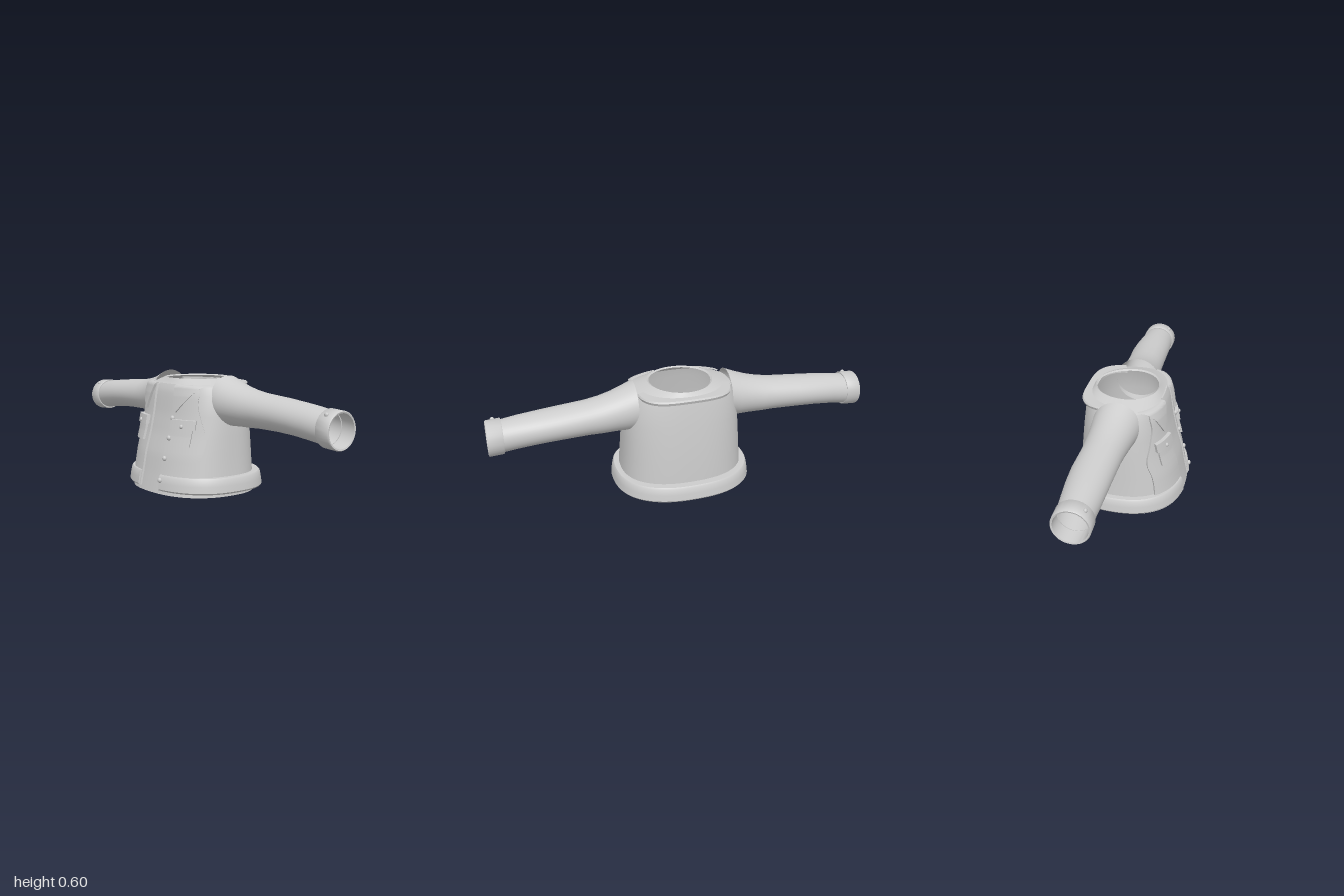
import * as THREE from 'three';
import { toCreasedNormals } from 'three/addons/utils/BufferGeometryUtils.js';

const cloth = new THREE.MeshStandardMaterial({ color: 0xcccccc, side: THREE.DoubleSide });
cloth.name = 'grey cloth';

const clamp = THREE.MathUtils.clamp, lerp = THREE.MathUtils.lerp;
const spow = (v, p) => Math.sign(v) * Math.abs(v) ** p;

// Torso cross-sections: height, half width, front depth, back depth, squareness
const ROWS = [
  [0, 0.335, 0.297, 0.26, 2.4], [0.1, 0.325, 0.275, 0.257, 2.4], [0.2, 0.318, 0.256, 0.252, 2.4],
  [0.3, 0.312, 0.226, 0.245, 2.4], [0.4, 0.305, 0.204, 0.235, 2.4], [0.5, 0.29, 0.189, 0.223, 2.4],
  [0.545, 0.268, 0.178, 0.215, 2.4], [0.557, 0.23, 0.165, 0.2, 2.3], [0.58, 0.17, 0.148, 0.185, 2],
  [0.574, 0.16, 0.14, 0.178, 2],
];

// Interpolated cross-section at height y
function section(y) {
  let i = 0;
  while (i < 7 && ROWS[i + 1][0] < y) i++;
  const a = ROWS[i], b = ROWS[i + 1], k = (y - a[0]) / (b[0] - a[0]);
  return a.map((v, j) => lerp(v, b[j], k));
}

// Point on a rounded outline; t = 0 is the front, t = PI/2 the left side
function ring(t, y, rx, zf, zb, n) {
  const c = Math.cos(t);
  return [rx * spow(Math.sin(t), 2 / n), y, (c > 0 ? zf : zb) * spow(c, 2 / n)];
}

// Point on the torso, raised by an offset
function onBody(t, y, o = 0) {
  const [, rx, zf, zb, n] = section(y);
  return ring(t, y, rx + o, zf + o, zb + o, n);
}

// Outline angle of a given x, or of a given z on the front half
function angleX(x, y) {
  const [, rx, , , n] = section(y);
  return Math.asin(clamp(spow(x / rx, n / 2), -1, 1));
}
function angleZ(z, y) {
  const [, , zf, , n] = section(y);
  return Math.acos(clamp(spow(z / zf, n / 2), -1, 1));
}

// Grid surface from fn(i, j)
function grid(nu, nv, fn, crease = 0.7) {
  const pos = [], idx = [];
  for (let j = 0; j <= nv; j++) for (let i = 0; i <= nu; i++) pos.push(...fn(i, j));
  for (let j = 0; j < nv; j++) for (let i = 0; i < nu; i++) {
    const a = j * (nu + 1) + i, b = a + 1, c = a + nu + 1, d = c + 1;
    idx.push(a, b, d, a, d, c);
  }
  const g = new THREE.BufferGeometry();
  g.setAttribute('position', new THREE.Float32BufferAttribute(pos, 3));
  g.setIndex(idx);
  return toCreasedNormals(g, crease);
}

// Raised cloth piece on the torso between the angles lo(y, v) and hi(y, v)
function patch(y0, y1, lo, hi, o, base = 0, nu = 14, nv = 24) {
  return grid(nu + 2, nv + 2, (i, j) => {
    const u = clamp((i - 1) / nu, 0, 1), v = clamp((j - 1) / nv, 0, 1);
    const edge = i === 0 || j === 0 || i === nu + 2 || j === nv + 2;
    const y = lerp(y0, y1, v);
    return onBody(lerp(lo(y, v), hi(y, v), u), y, edge ? base : o);
  });
}

// Padded band swept round an outline, closed at both ends
function band(t0, t1, steps, rx, zf, zb, n, profile) {
  const mid = profile.reduce((m, p) => [m[0] + p[0] / profile.length, m[1] + p[1] / profile.length], [0, 0]);
  return grid(profile.length, steps + 2, (i, j) => {
    const [d, y] = j === 0 || j === steps + 2 ? mid : profile[i % profile.length];
    return ring(lerp(t0, t1, clamp((j - 1) / steps, 0, 1)), y, rx + d, zf + d, zb + d, n);
  });
}

// Tube along x through rows of [x, centre y, centre z, half height, half depth]
function sleeve(side, rows) {
  return grid(40, rows.length - 1, (i, j) => {
    const [x, cy, cz, ry, rz] = rows[j], a = (i % 40) / 40 * Math.PI * 2 * side;
    return [side * x, cy + ry * Math.cos(a), cz + rz * Math.sin(a)];
  });
}

export function createModel() {
  const model = new THREE.Group();
  model.name = 'jacket';
  const add = (name, geometry) => {
    const m = new THREE.Mesh(geometry, cloth);
    m.name = name;
    model.add(m);
    return m;
  };
  const button = (name, p, r = 0.011) => {
    const g = new THREE.SphereGeometry(r, 12, 8);
    g.scale(1, 1, 0.8);
    add(name, g).position.set(...p);
  };

  // Shirt with shoulders and open neck
  add('torso', grid(96, ROWS.length - 1, (i, j) => {
    const [y, rx, zf, zb, n] = ROWS[j];
    return ring((i % 96) / 96 * Math.PI * 2, y, rx, zf, zb, n);
  }, 0.5));

  // Front strip
  add('frontPlacket', patch(0.012, 0.552, y => angleX(-0.07, y), y => angleX(0.075, y), 0.006));

  // Padded hem, open at the front
  const start = angleX(0.08, 0.06);
  add('hem', band(start, Math.PI * 2 - start, 96, 0.36, 0.3, 0.302, 2.4,
    [[-0.05, 0.02], [0.003, 0.02], [0.009, 0.028], [0.005, 0.06], [-0.001, 0.092], [-0.007, 0.1], [-0.05, 0.1]]));

  // Turned-down collar across the back
  add('backCollar', band(Math.PI * 0.56, Math.PI * 1.44, 40, 0.245, 0.2, 0.23, 3.4,
    [[-0.05, 0.54], [-0.012, 0.532], [0, 0.538], [0.005, 0.552], [0, 0.56], [-0.05, 0.56]]));

  // Vest side edge: depth at evenly spaced heights from 0.02 to 0.545
  const edge = new THREE.SplineCurve([0.18, 0.178, 0.165, 0.137, 0.145, 0.148, 0.13]
    .map((z, i) => new THREE.Vector2(z, i)));
  const arm = [
    [0.25, 0.475, -0.02, 0.125, 0.121], [0.3, 0.464, -0.024, 0.116, 0.116], [0.36, 0.455, -0.028, 0.104, 0.108],
    [0.43, 0.447, -0.033, 0.095, 0.103], [0.5, 0.443, -0.036, 0.088, 0.1], [0.64, 0.437, -0.041, 0.083, 0.101],
    [0.74, 0.43, -0.041, 0.081, 0.098], [0.84, 0.42, -0.04, 0.081, 0.092], [0.93, 0.408, -0.04, 0.081, 0.085],
  ];
  const cuff = [[0.922, 0.078], [0.922, 0.087], [0.926, 0.09], [0.995, 0.09], [1, 0.086], [0.998, 0.079], [0.93, 0.077]]
    .map(([x, r]) => [x, 0.408 - (x - 0.922) * 0.06, -0.039, r, r + 0.002]);

  for (const side of [1, -1]) {
    const tag = side > 0 ? 'left' : 'right';
    // Raised piece between two x positions on this side
    const piece = (y0, y1, x0, x1, o, base) =>
      patch(y0, y1, (y, v) => side * angleX(x0(v), y), (y, v) => side * angleX(x1(v), y), o, base);

    add(tag + 'Vest', patch(0.02, 0.545, y => side * angleX(0.078, y),
      (y, v) => side * angleZ(edge.getPoint(v).x, y), 0.012));

    // Pointed front collar
    const tip = side > 0 ? 0.105 : 0.145;
    add(tag + 'Collar', piece(0.415, 0.553, v => lerp(tip - 0.005, 0.078, v),
      v => lerp(tip + 0.005, 0.225, v), 0.024, 0.01));

    // Chest pocket with flap and button
    add(tag + 'Pocket', piece(0.252, 0.36, v => 0.112 - 0.004 * v, () => 0.215, 0.024, 0.01));
    add(tag + 'PocketFlap', piece(0.335, 0.382, () => 0.1, () => 0.226, 0.031, 0.01));
    button(tag + 'PocketButton', onBody(side * angleX(0.162, 0.35), 0.35, 0.031));

    // Sleeve, cuff and cuff button
    add(tag + 'Sleeve', sleeve(side, arm));
    add(tag + 'Cuff', sleeve(side, cuff));
    button(tag + 'CuffButton', [side * 0.96, 0.476, 0.02]);
  }

  // Buttons down the vest
  for (const y of [0.385, 0.285, 0.183, 0.075])
    button('vestButton', onBody(angleX(0.092, y), y, y < 0.1 ? 0.026 : 0.015), 0.013);

  return model;
}
